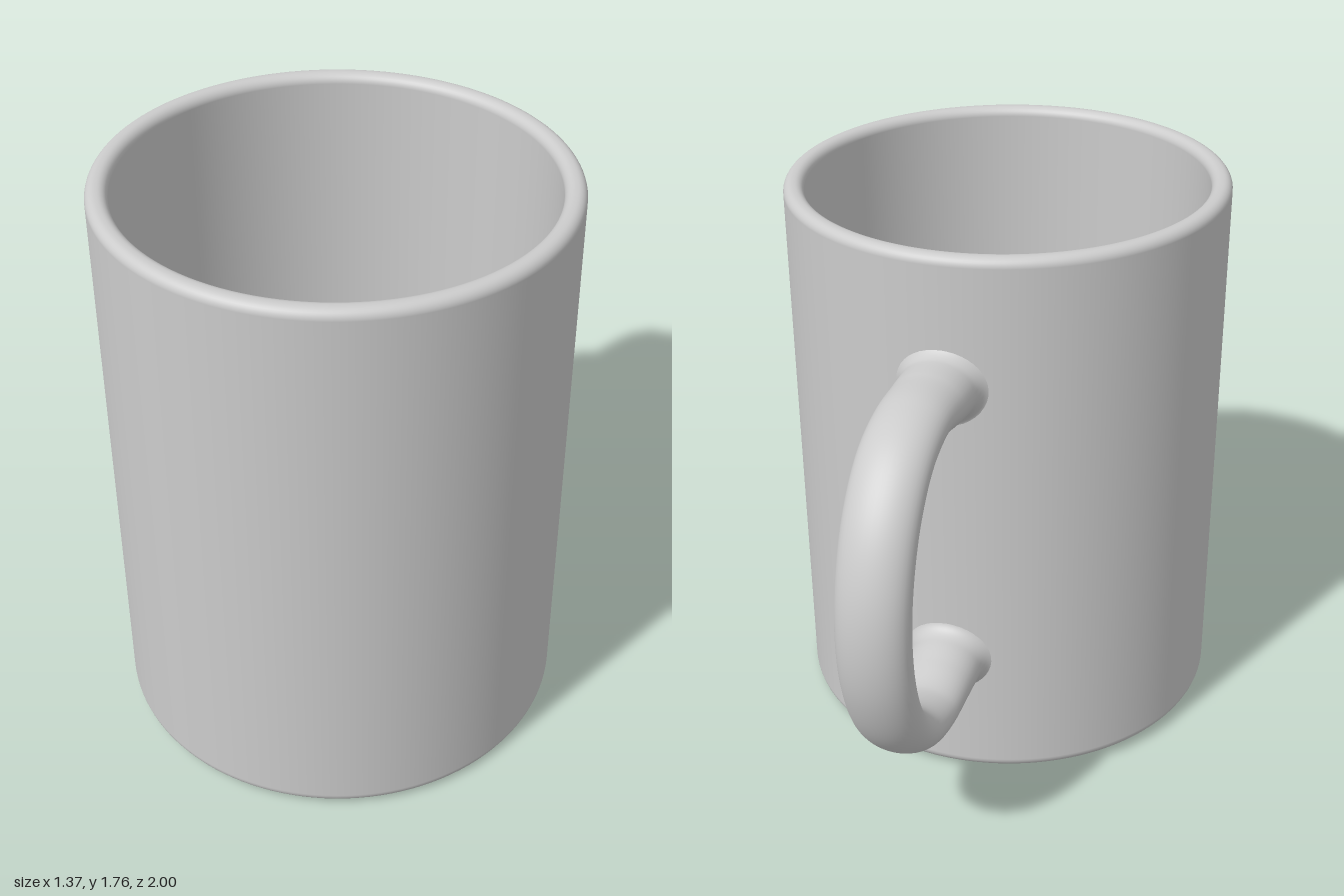
import * as THREE from 'three';

const R = 0.672, INNER = 0.61, HALF = 0.87, FLOOR = -0.80;
const material = new THREE.MeshStandardMaterial({ color: 0xcccccc, side: THREE.DoubleSide });

// Points of a quarter round, from angle a0 to a1
function arc(cx, cy, r, a0, a1, n = 8) {
  return Array.from({ length: n + 1 }, (_, i) => {
    const a = a0 + (a1 - a0) * i / n;
    return new THREE.Vector2(cx + r * Math.cos(a), cy + r * Math.sin(a));
  });
}

// Hollow cup: underside, outer wall, rounded rim, inner wall, floor
function createCup() {
  const q = Math.PI / 2, f = 0.035, lip = 0.028;
  const profile = [
    new THREE.Vector2(0, -HALF),
    ...arc(R - f, -HALF + f, f, -q, 0),
    ...arc(R - lip, HALF - lip, lip, 0, q),
    ...arc(INNER + lip, HALF - lip, lip, q, 2 * q),
    ...arc(INNER - 0.03, FLOOR + 0.03, 0.03, 0, -q),
    new THREE.Vector2(0, FLOOR),
  ];
  const cup = new THREE.Mesh(new THREE.LatheGeometry(profile, 128), material);
  cup.name = 'cup';
  return cup;
}

// Handle: oval rings swept along a loop in the (distance from axis, height) plane
function createHandle() {
  const upper = [[0.664, 0.465], [0.72, 0.467], [0.79, 0.474], [0.92, 0.483],
    [1.062, 0.437], [1.177, 0.325], [1.25, 0.165]];
  const lower = upper.map(([d, y]) => [d, -y]).reverse();
  const curve = new THREE.CatmullRomCurve3(
    [...upper, [1.272, 0], ...lower].map(([d, y]) => new THREE.Vector3(d, y, 0)), false, 'centripetal');
  curve.arcLengthDivisions = 1000;

  const rings = 140, sides = 40, fillet = 0.05;
  const positions = [], index = [];
  for (let i = 0; i <= rings; i++) {
    const u = (1 - Math.cos(Math.PI * i / rings)) / 2;
    const p = curve.getPointAt(u), t = curve.getTangentAt(u);
    const x = Math.max(0, p.x - 0.664);
    // Swell towards the wall, ending in a small fillet
    const swell = 1 - THREE.MathUtils.smoothstep(x, 0, 0.28);
    const gap = Math.max(0, fillet - x);
    const flare = fillet - Math.sqrt(fillet * fillet - gap * gap);
    const thick = 0.072 + 0.024 * swell + flare * 0.9;
    const wide = 0.106 + 0.009 * swell + flare * 0.9;
    const hug = 1 - THREE.MathUtils.smoothstep(x, 0, 0.15);
    for (let j = 0; j < sides; j++) {
      const a = j / sides * Math.PI * 2;
      const n = thick * Math.cos(a), s = wide * Math.sin(a);
      // Bend the ends round the curved wall
      const bend = (R - Math.sqrt(R * R - s * s)) * hug;
      positions.push(p.x - t.y * n - bend, p.y + t.x * n, s);
      if (i < rings) {
        const k = i * sides + j, m = i * sides + (j + 1) % sides;
        index.push(k, m, k + sides, m, m + sides, k + sides);
      }
    }
  }
  const geometry = new THREE.BufferGeometry();
  geometry.setAttribute('position', new THREE.Float32BufferAttribute(positions, 3));
  geometry.setIndex(index);
  geometry.computeVertexNormals();
  const handle = new THREE.Mesh(geometry, material);
  handle.name = 'handle';
  handle.position.y = 0.014;
  // Point backwards and a little to the right
  handle.rotation.y = Math.PI / 2 + THREE.MathUtils.degToRad(9.3);
  return handle;
}

export function createModel() {
  const model = new THREE.Group();
  model.name = 'mug';
  // The whole mug leans slightly to its left
  const body = new THREE.Group();
  body.name = 'leaningMug';
  body.add(createCup(), createHandle());
  body.position.set(0, 0.882, 0.328);
  body.rotation.z = -0.0185;
  model.add(body);
  return model;
}
